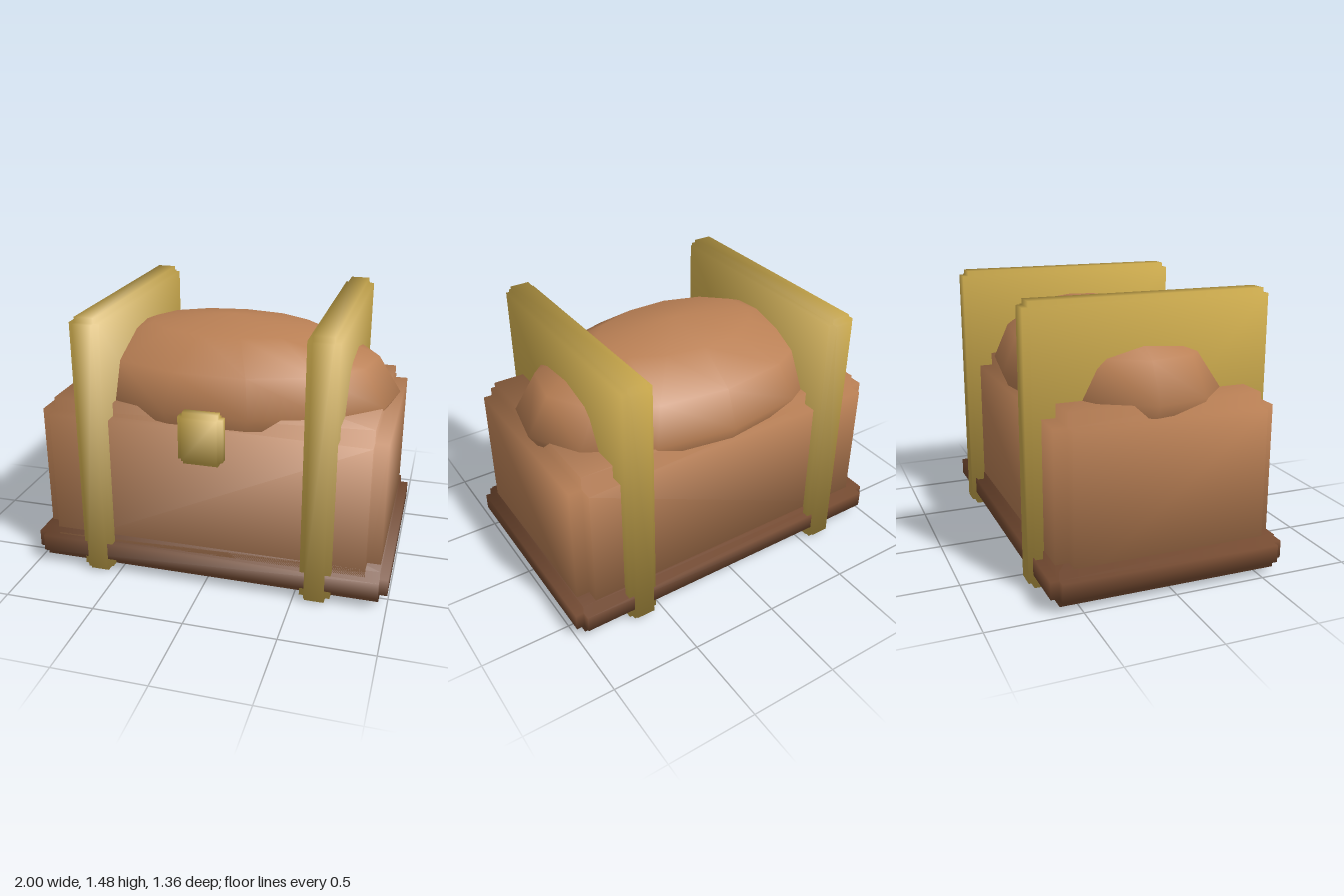
import * as THREE from 'three';

const wood = new THREE.MeshStandardMaterial({ name: 'warm wood', color: 0xba8055 });
const darkWood = new THREE.MeshStandardMaterial({ name: 'dark wood', color: 0x774c32 });
const brass = new THREE.MeshStandardMaterial({ name: 'brass', color: 0xc9a84c });

// Box with every edge cut back in a square step, shaded with soft corner normals.
function steppedBox(name, material, min, max, step) {
  const size = max.map((v, i) => (v - min[i]) / 2);
  const mid = max.map((v, i) => (v + min[i]) / 2);
  const pos = [], nor = [];
  // A corner is given by its signs and by the axis (if any) that reaches full size
  const put = (signs, fullAxis) => {
    signs.forEach((s, i) => pos.push(mid[i] + s * (size[i] - (i === fullAxis ? 0 : step))));
    signs.forEach((s) => nor.push(s / Math.sqrt(3)));
  };
  const quad = (corners, flip) => {
    const order = flip ? [0, 2, 1, 0, 3, 2] : [0, 1, 2, 0, 2, 3];
    order.forEach((k) => put(...corners[k]));
  };
  const at = (a, sa, b, sb, c, sc) => {
    const v = [0, 0, 0];
    v[a] = sa; v[b] = sb; v[c] = sc;
    return v;
  };
  for (let a = 0; a < 3; a++) {
    const b = (a + 1) % 3, c = (a + 2) % 3;
    for (const s of [-1, 1]) {
      // Main face across axis a
      quad([[-1, -1], [1, -1], [1, 1], [-1, 1]].map(([u, v]) => [at(a, s, b, u, c, v), a]), s < 0);
      // Step walls around that face, facing along b and then along c
      for (const t of [-1, 1]) {
        quad([[at(a, s, b, t, c, -1), -1], [at(a, s, b, t, c, -1), a],
          [at(a, s, b, t, c, 1), a], [at(a, s, b, t, c, 1), -1]], s * t > 0);
        quad([[at(a, s, c, t, b, -1), -1], [at(a, s, c, t, b, -1), a],
          [at(a, s, c, t, b, 1), a], [at(a, s, c, t, b, 1), -1]], s * t < 0);
      }
    }
  }
  const geo = new THREE.BufferGeometry();
  geo.setAttribute('position', new THREE.Float32BufferAttribute(pos, 3));
  geo.setAttribute('normal', new THREE.Float32BufferAttribute(nor, 3));
  const mesh = new THREE.Mesh(geo, material);
  mesh.name = name;
  return mesh;
}

export function createModel() {
  const chest = new THREE.Group();
  chest.name = 'chest';

  // Plinth and body
  chest.add(steppedBox('base', darkWood, [-1, 0.03, -0.655], [1, 0.215, 0.63], 0.045));
  chest.add(steppedBox('body', wood, [-0.95, 0.027, -0.605], [0.95, 0.98, 0.585], 0.073));

  // Domed lid: a coarse flattened ball sunk into the body
  const dome = new THREE.SphereGeometry(1, 13, 6, -Math.PI / 2);
  dome.scale(0.95, 0.4, 0.594);
  const lid = new THREE.Mesh(dome, wood);
  lid.name = 'lid';
  lid.position.set(0, 0.98, -0.011);
  chest.add(lid);

  // Two upright metal bands
  for (const [side, x] of [['left', 0.618], ['right', -0.618]]) {
    chest.add(steppedBox(side + 'Band', brass, [x - 0.083, 0, -0.68], [x + 0.083, 1.48, 0.655], 0.03));
  }

  // Front clasp
  chest.add(steppedBox('clasp', brass, [-0.12, 0.742, 0.58], [0.12, 1.028, 0.677], 0.025));
  return chest;
}
